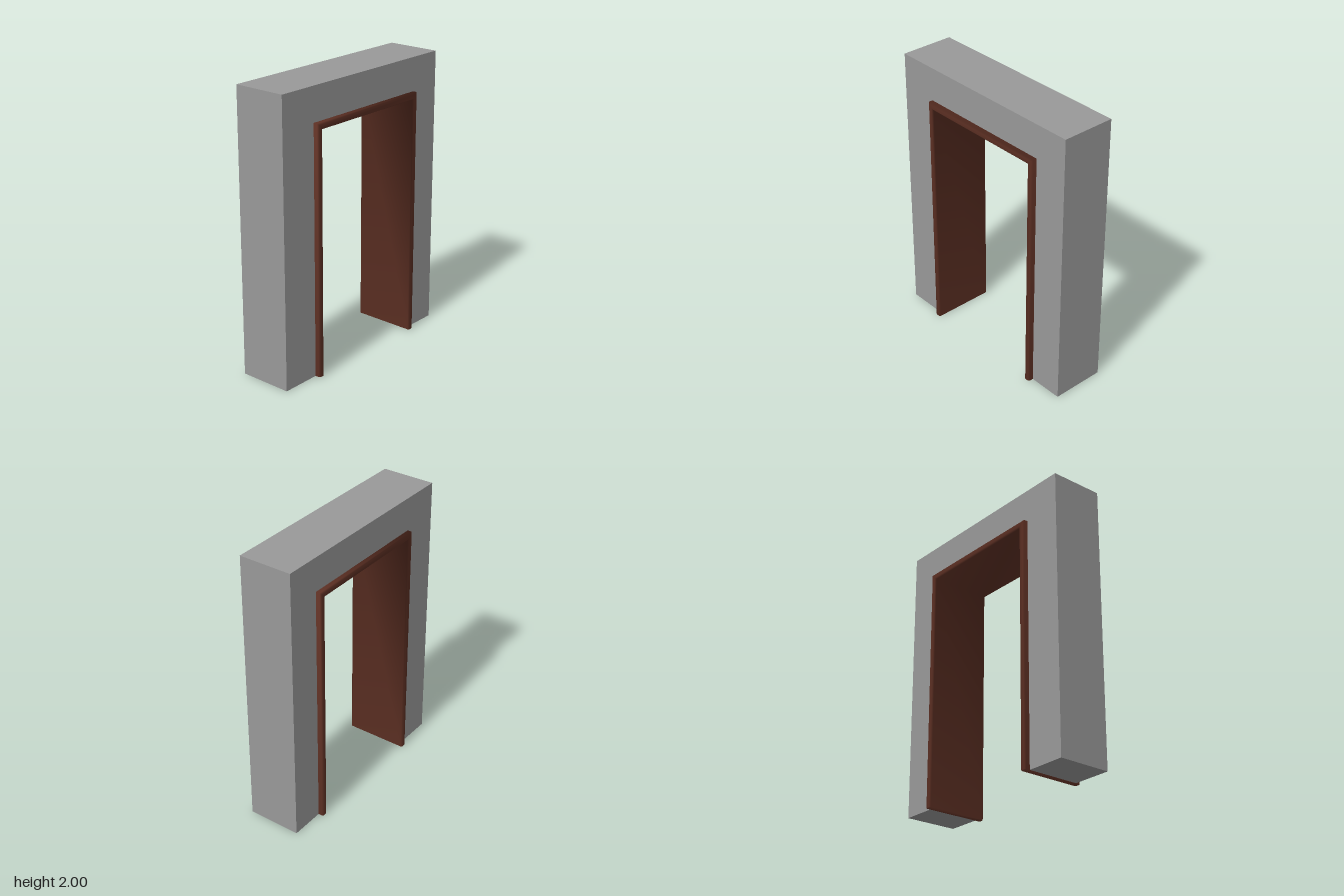
import * as THREE from 'three';

const wallGray = new THREE.MeshStandardMaterial({ name: 'wallGray', color: 0x999999 });
const darkWood = new THREE.MeshStandardMaterial({ name: 'darkWood', color: 0x5a2e22 });

// Outline of the doorway opening, and how far the timber lining reaches inwards
const LEFT = -0.488, RIGHT = 0.525, TOP = 1.762, THICK = 0.046;

// Wall with the doorway cut out of its lower edge
function createWall() {
  const shape = new THREE.Shape([
    [-0.772, 0], [LEFT, 0], [LEFT, TOP], [RIGHT, TOP],
    [RIGHT, 0], [0.772, 0], [0.772, 2], [-0.772, 2],
  ].map(([x, y]) => new THREE.Vector2(x, y)));
  const depth = 0.384;
  const geometry = new THREE.ExtrudeGeometry(shape, { depth, bevelEnabled: false });
  geometry.translate(0, 0, -depth / 2);
  const wall = new THREE.Mesh(geometry, wallGray);
  wall.name = 'wall';
  return wall;
}

// Timber lining: one bevelled section swept up, across and down with mitred corners
function createDoorFrame() {
  const z = 0.23, b = 0.01;
  // section points: [distance inwards from the outer edge, z]
  const section = [
    [0, -z + b], [0, z - b], [b, z], [THICK - b, z],
    [THICK, z - b], [THICK, -z + b], [THICK - b, -z], [b, -z],
  ];
  // path stations: [x, y, inward x, inward y]
  const path = [[LEFT, 0, 1, 0], [LEFT, TOP, 1, -1], [RIGHT, TOP, -1, -1], [RIGHT, 0, -1, 0]];
  const n = section.length, positions = [], index = [];
  for (const [x, y, dx, dy] of path) {
    for (const [d, pz] of section) positions.push(x + dx * d, y + dy * d, pz);
  }
  for (let s = 0; s < path.length - 1; s++) {
    for (let i = 0; i < n; i++) {
      const a = s * n + i, c = s * n + (i + 1) % n;
      index.push(a, c, a + n, c, c + n, a + n);
    }
  }
  // feet of the two posts
  const last = (path.length - 1) * n;
  for (let i = 1; i < n - 1; i++) {
    index.push(0, i + 1, i, last, last + i, last + i + 1);
  }
  const geometry = new THREE.BufferGeometry();
  geometry.setAttribute('position', new THREE.Float32BufferAttribute(positions, 3));
  geometry.setIndex(index);
  geometry.computeVertexNormals();
  const frame = new THREE.Mesh(geometry, darkWood);
  frame.name = 'doorFrame';
  return frame;
}

export function createModel() {
  const model = new THREE.Group();
  model.name = 'doorway';
  model.add(createWall(), createDoorFrame());
  return model;
}
